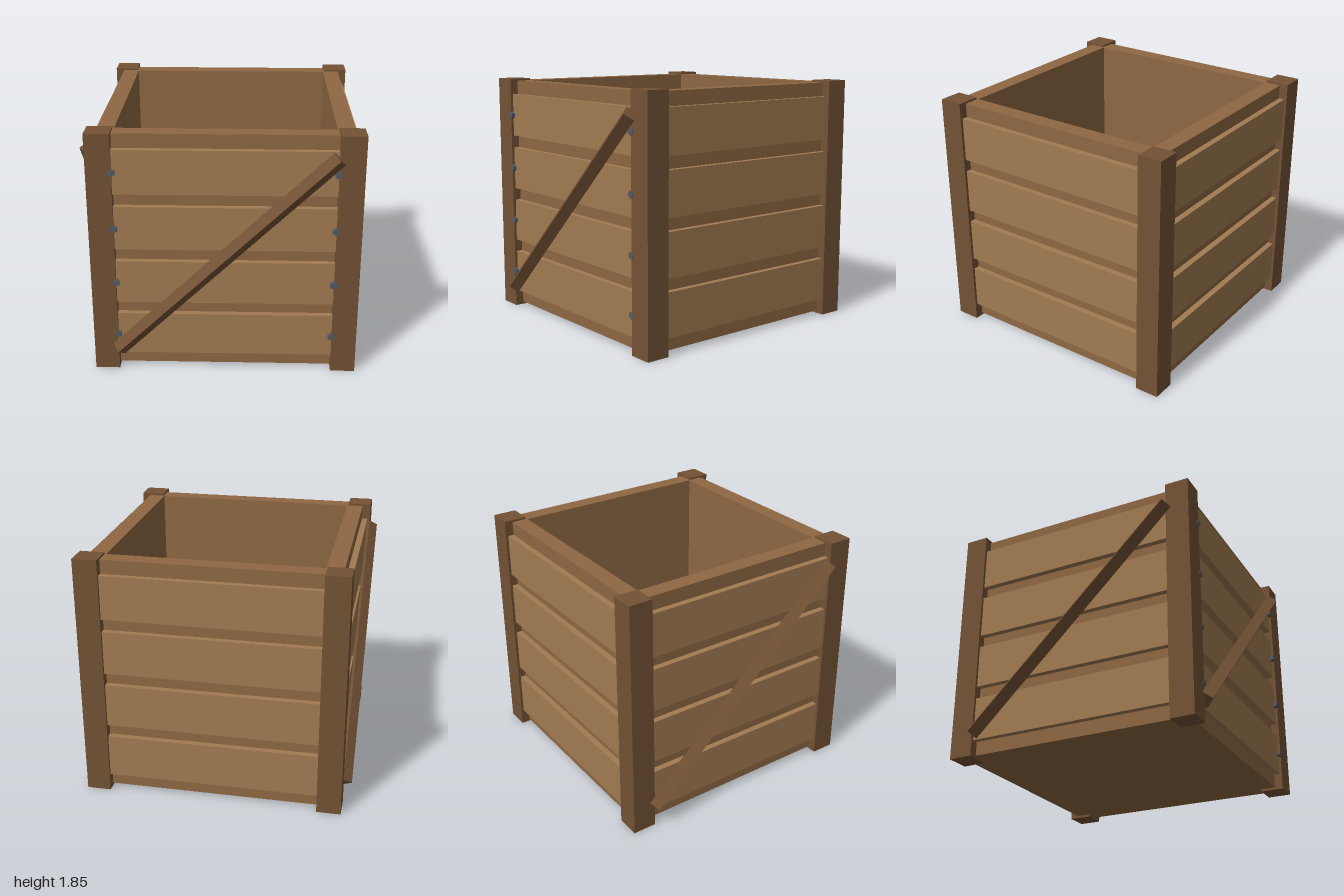
import * as THREE from 'three';

const material = (color) => new THREE.MeshStandardMaterial({ color });

export function createModel() {
  const model = new THREE.Group();
  model.name = 'crate';
  // The braces stick out on two sides, so the body sits off centre
  const body = new THREE.Group();
  body.name = 'crateBody';
  body.position.set(0.03, 0, -0.03);
  model.add(body);

  const plankMat = material(0xa27b52);
  const wallMat = material(0x8f6843);
  const postMat = material(0x735235);
  const boltMat = material(0x555a66);

  const add = (parent, name, geometry, mat, x = 0, y = 0, z = 0) => {
    const mesh = new THREE.Mesh(geometry, mat);
    mesh.name = name;
    mesh.position.set(x, y, z);
    parent.add(mesh);
    return mesh;
  };

  // Open box: square ring of walls plus a floor
  const inner = 0.78, outer = 0.905, base = 0.02, top = 1.835;
  const square = (h, Type) => new Type([[-h, -h], [h, -h], [h, h], [-h, h]].map(([x, y]) => new THREE.Vector2(x, y)));
  const ring = square(outer, THREE.Shape);
  ring.holes.push(square(inner, THREE.Path));
  const walls = new THREE.ExtrudeGeometry(ring, { depth: top - base, bevelEnabled: false });
  walls.rotateX(-Math.PI / 2);
  add(body, 'walls', walls, wallMat, 0, base, 0);
  add(body, 'floor', new THREE.BoxGeometry(inner * 2, 0.125, inner * 2), wallMat, 0, base + 0.0625, 0);

  // Corner posts
  const postGeo = new THREE.BoxGeometry(0.18, 1.85, 0.18);
  for (const x of [-0.88, 0.88]) {
    for (const z of [-0.88, 0.88]) add(body, 'cornerPost', postGeo, postMat, x, 0.925, z);
  }

  // Four raised planks on each of the four sides
  const plankGeo = new THREE.BoxGeometry(1.58, 0.33, 0.045);
  for (let side = 0; side < 4; side++) {
    const group = new THREE.Group();
    group.name = 'sidePlanks';
    group.rotation.y = (side * Math.PI) / 2;
    for (let i = 0; i < 4; i++) add(group, 'plank', plankGeo, plankMat, 0, 0.29 + i * 0.425, 0.9275);
    body.add(group);
  }

  // Diagonal square bars set on edge, on the front and right sides
  const braceGeo = new THREE.BoxGeometry(2.19, 0.085, 0.085);
  braceGeo.rotateX(Math.PI / 4);
  braceGeo.rotateZ(Math.atan2(1.52, 1.577));
  for (const [name, angle] of [['frontBrace', 0], ['rightBrace', -Math.PI / 2]]) {
    const group = new THREE.Group();
    group.name = name;
    group.rotation.y = angle;
    add(group, 'braceBar', braceGeo, postMat, 0, 0.927, 0.97);
    body.add(group);
  }

  // Hexagonal bolts along the inner edges of the front posts
  const boltGeo = new THREE.CylinderGeometry(0.027, 0.027, 0.04, 6).toNonIndexed();
  boltGeo.rotateX(Math.PI / 2);
  boltGeo.computeVertexNormals();
  for (const x of [-0.79, 0.785]) {
    for (let i = 0; i < 4; i++) add(body, 'bolt', boltGeo, boltMat, x, 0.29 + i * 0.425, 0.955);
  }

  return model;
}
